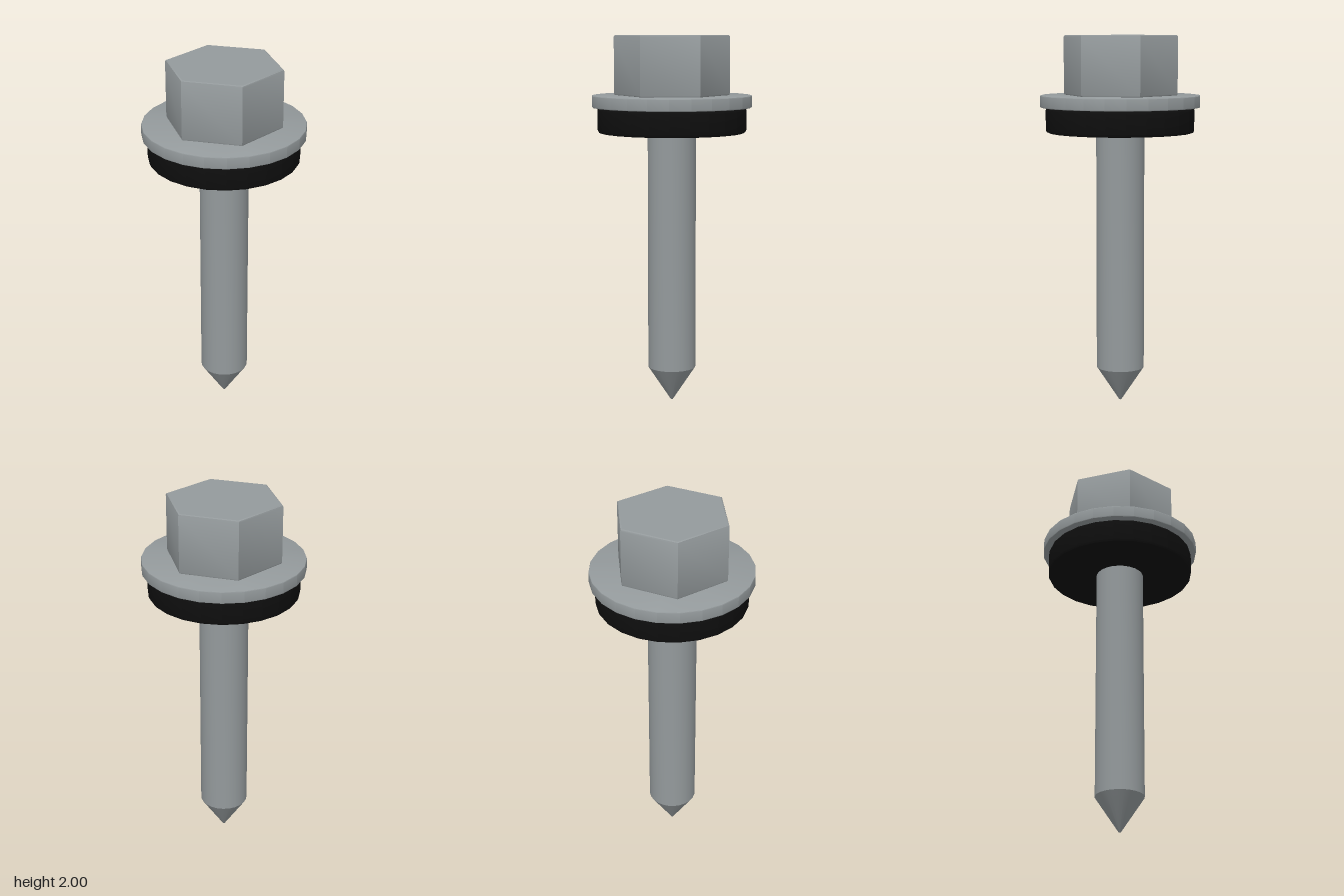
import * as THREE from 'three';
import { toCreasedNormals } from 'three/addons/utils/BufferGeometryUtils.js';

const steel = new THREE.MeshStandardMaterial({ color: 0x949a9c });
steel.name = 'steel grey';
const rubber = new THREE.MeshStandardMaterial({ color: 0x0e0e0e });
rubber.name = 'black rubber';

// Turned part from a bottom-to-top list of [radius, height]
function turned(name, profile, sides, material, crease = 0.45) {
  const points = profile.map(([r, y]) => new THREE.Vector2(r, y));
  const geometry = toCreasedNormals(new THREE.LatheGeometry(points, sides), crease);
  const mesh = new THREE.Mesh(geometry, material);
  mesh.name = name;
  return mesh;
}

// Closed disc profile with small bevels on both rims
function disc(radius, bottom, top, bevel) {
  return [
    [0, bottom],
    [radius - bevel, bottom],
    [radius - bevel * 0.3, bottom + bevel * 0.3],
    [radius, bottom + bevel],
    [radius, top - bevel],
    [radius - bevel * 0.3, top - bevel * 0.3],
    [radius - bevel, top],
    [0, top],
  ];
}

export function createModel() {
  const screw = new THREE.Group();
  screw.name = 'hexHeadScrew';

  // Hex head, one corner facing the front
  screw.add(turned('hexHead', disc(0.31, 1.68, 2, 0.01), 6, steel));

  // Flange and the sealing washer under it
  screw.add(turned('flange', disc(0.43, 1.617, 1.682, 0.005), 24, steel));
  screw.add(turned('sealingWasher', disc(0.4, 1.482, 1.617, 0.014), 24, rubber));

  // Plain shank and pointed tip
  screw.add(turned('shank', [[0.13, 0.19], [0.13, 1.5]], 24, steel));
  screw.add(turned('tip', [[0, 0], [0.006, 0.002], [0.13, 0.19]], 24, steel));

  return screw;
}
